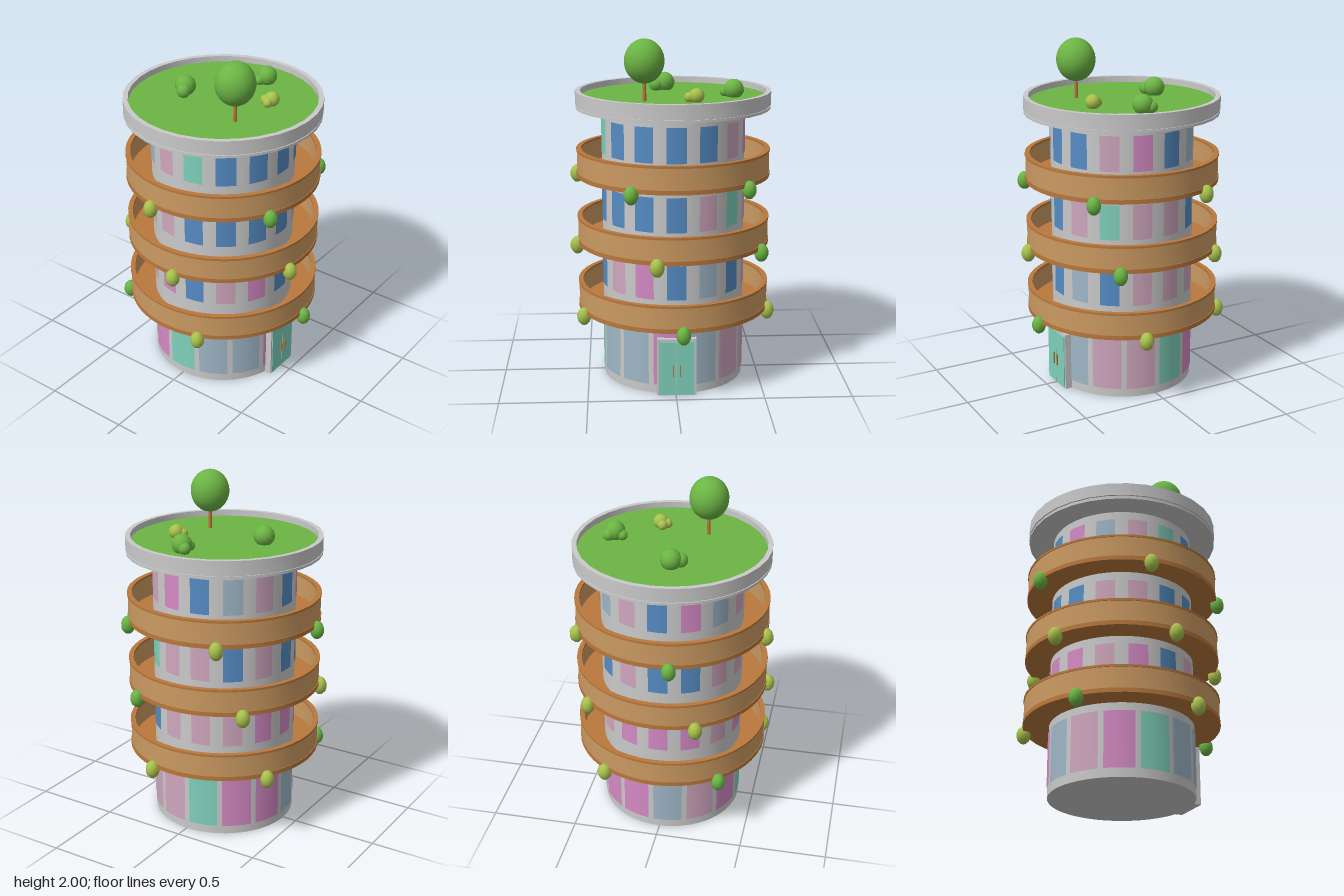
import * as THREE from 'three';
import { toCreasedNormals } from 'three/addons/utils/BufferGeometryUtils.js';

const mat = (name, color) => {
  const m = new THREE.MeshStandardMaterial({ color });
  m.name = name;
  return m;
};

export function createModel() {
  const concrete = mat('concrete', 0xcacaca);
  const wood = mat('wood', 0xcb9a62);
  const darkWood = mat('darkWood', 0xb9783c);
  const green = mat('green', 0x6cb544);
  const lime = mat('lime', 0xa9c24c);
  const teal = mat('teal', 0x7fd0bb);
  const blue = mat('blue', 0x558cc4);
  const pink = mat('pink', 0xd48ac4);
  const palePink = mat('palePink', 0xcfa6bd);
  const paleBlue = mat('paleBlue', 0x9fb6c6);

  const model = new THREE.Group();
  model.name = 'roundTower';
  const tower = new THREE.Group();
  tower.name = 'tower';
  tower.position.set(0.004, 0, -0.004);
  model.add(tower);

  const add = (parent, name, geometry, material, x = 0, y = 0, z = 0) => {
    const mesh = new THREE.Mesh(geometry, material);
    mesh.name = name;
    mesh.position.set(x, y, z);
    parent.add(mesh);
    return mesh;
  };
  // Turned part with sharp profile corners; points are [radius, height]
  const turned = (points, segments) => toCreasedNormals(
    new THREE.LatheGeometry(points.map(([r, y]) => new THREE.Vector2(r, y)), segments), 0.5);
  const ring = (inner, outer, bottom, top, segments) => turned(
    [[inner, bottom], [outer, bottom], [outer, top], [inner, top], [inner, bottom]], segments);
  const blob = (parent, name, material, x, y, z, r, ry = r, detail = 12) => {
    const mesh = add(parent, name, new THREE.SphereGeometry(1, detail, Math.ceil(detail * 0.7)), material, x, y, z);
    mesh.scale.set(r, ry, r);
  };

  // Central shaft
  add(tower, 'shaft', new THREE.CylinderGeometry(0.41, 0.41, 1.6, 64), concrete, 0, 0.8, 0);

  // Coloured window panels, listed from the front round towards +x
  const palette = { B: blue, b: paleBlue, P: pink, p: palePink, T: teal };
  const storeys = [
    { bottom: 0.05, top: 0.37, start: -6.5, fill: 0.85, colours: 'PbppTPPbpPTbb' },
    { bottom: 0.56, top: 0.76, start: 0, fill: 0.6, colours: 'BbBpppPPPpPBpP' },
    { bottom: 0.95, top: 1.15, start: 0, fill: 0.6, colours: 'BpTppBpBBppBBB' },
    { bottom: 1.34, top: 1.54, start: 0, fill: 0.6, colours: 'BBpPBbpBPbpTBB' },
  ];
  storeys.forEach(({ bottom, top, start, fill, colours }) => {
    const pitch = (Math.PI * 2) / colours.length;
    [...colours].forEach((c, i) => {
      const middle = THREE.MathUtils.degToRad(start) + i * pitch;
      add(tower, 'windowPanel', new THREE.CylinderGeometry(0.414, 0.414, top - bottom, 6, 1, true,
        middle - pitch * fill / 2, pitch * fill), palette[c], 0, (top + bottom) / 2, 0);
    });
  });

  // Balconies with hanging plants
  const plantColours = ['GLLGL', 'LGLLL', 'GGLGL'];
  [0.415, 0.805, 1.2].forEach((base, level) => {
    const balcony = new THREE.Group();
    balcony.name = 'balcony';
    tower.add(balcony);
    add(balcony, 'balconyFloor', ring(0.4, 0.558, base, base + 0.025, 48), darkWood);
    add(balcony, 'balconyWall', ring(0.533, 0.554, base + 0.02, base + 0.148, 48), wood);
    add(balcony, 'balconyRail', ring(0.53, 0.558, base + 0.145, base + 0.158, 48), darkWood);
    [...plantColours[level]].forEach((c, i) => {
      const a = THREE.MathUtils.degToRad(3.2 - 14.9 * level + 72 * i);
      blob(balcony, 'hangingPlant', c === 'G' ? green : lime,
        Math.sin(a) * 0.563, base - 0.012, Math.cos(a) * 0.563, 0.041, 0.053, 10);
    });
  });

  // Roof tray and lawn
  add(tower, 'roofSlab', turned([[0, 1.59], [0.558, 1.59], [0.558, 1.605], [0.552, 1.605],
    [0.552, 1.613], [0.56, 1.613], [0.56, 1.69], [0.532, 1.69], [0.532, 1.64], [0, 1.64]], 32), concrete);
  add(tower, 'lawn', new THREE.CylinderGeometry(0.534, 0.534, 0.02, 32), green, 0, 1.645, 0);

  // Roof garden
  const garden = new THREE.Group();
  garden.name = 'roofGarden';
  model.add(garden);
  add(garden, 'treeTrunk', new THREE.CylinderGeometry(0.009, 0.011, 0.15, 8), darkWood, -0.165, 1.72, 0.2);
  blob(garden, 'treeCrown', green, -0.165, 1.877, 0.2, 0.112, 0.123, 24);
  [
    [-0.036, -0.24, 0.06, green], [-0.085, -0.215, 0.041, green],
    [0.345, 0.055, 0.058, green], [0.298, 0.035, 0.03, green], [0.374, 0.018, 0.034, green],
    [0.122, 0.243, 0.043, lime], [0.082, 0.24, 0.029, lime], [0.105, 0.21, 0.029, lime],
  ].forEach(([x, z, r, m]) => blob(garden, 'bush', m, x, 1.665 + r * 0.55, z, r));

  // Entrance: frame, two leaves and handles
  const door = new THREE.Group();
  door.name = 'entrance';
  door.position.set(0.004, 0, 0);
  model.add(door);
  add(door, 'doorFrame', new THREE.BoxGeometry(0.222, 0.338, 0.06), concrete, 0, 0.169, 0.402);
  for (const side of [-1, 1]) {
    add(door, 'doorLeaf', new THREE.BoxGeometry(0.099, 0.318, 0.008), teal, side * 0.051, 0.163, 0.433);
    add(door, 'doorHandle', new THREE.BoxGeometry(0.007, 0.07, 0.008), darkWood, side * 0.02, 0.15, 0.441);
  }
  return model;
}
